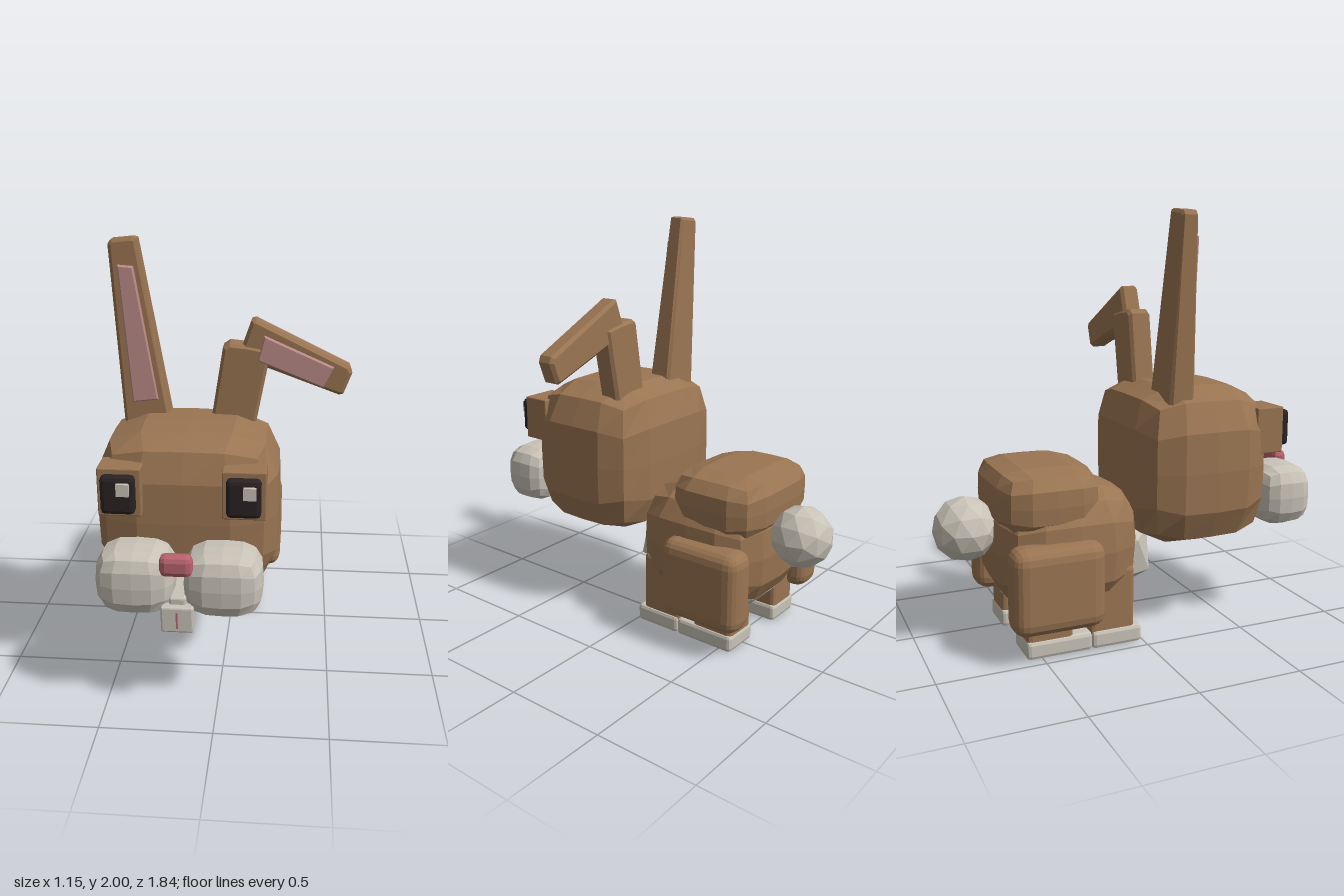
import * as THREE from 'three';
import { RoundedBoxGeometry } from 'three/addons/geometries/RoundedBoxGeometry.js';

function material(name, hex) {
  const m = new THREE.MeshStandardMaterial({ color: hex, flatShading: true });
  m.name = name;
  return m;
}

// Box whose vertices are pulled onto a superellipsoid; higher power = boxier
function blobGeometry(w, h, d, power, seg = 4) {
  const g = new THREE.BoxGeometry(2, 2, 2, seg, seg, seg);
  const p = g.attributes.position;
  const v = new THREE.Vector3();
  for (let i = 0; i < p.count; i++) {
    v.fromBufferAttribute(p, i);
    const n = (Math.abs(v.x) ** power + Math.abs(v.y) ** power + Math.abs(v.z) ** power) ** (1 / power);
    v.divideScalar(n);
    p.setXYZ(i, v.x * w / 2, v.y * h / 2, v.z * d / 2);
  }
  g.computeVertexNormals();
  return g;
}

// Bevelled outline plate between z0 and z1
function plateGeometry(points, z0, z1, bevel) {
  const shape = new THREE.Shape(points.map(([x, y]) => new THREE.Vector2(x, y)));
  const g = new THREE.ExtrudeGeometry(shape, {
    depth: z1 - z0 - 2 * bevel, bevelEnabled: true, bevelThickness: bevel,
    bevelSize: bevel, bevelOffset: -bevel, bevelSegments: 1,
  });
  return g.translate(0, 0, z0 + bevel);
}

export function createModel() {
  const fur = material('brown fur', 0x9a7552);
  const pale = material('pale fur', 0xc9c3b7);
  const earPink = material('inner ear pink', 0xbc8c88);
  const nosePink = material('nose pink', 0xb8626e);
  const black = material('eye black', 0x2a2223);

  const model = new THREE.Group();
  model.name = 'rabbit';
  const torso = new THREE.Group();
  torso.name = 'rabbitBody';
  torso.position.x = -0.16;
  model.add(torso);

  const add = (name, geometry, mat, x = 0, y = 0, z = 0, parent = torso) => {
    const m = new THREE.Mesh(geometry, mat);
    m.name = name;
    m.position.set(x, y, z);
    parent.add(m);
    return m;
  };
  // Rounded box given by its limits on each axis
  const box = (name, mat, [x0, x1], [y0, y1], [z0, z1], r, seg = 1) =>
    add(name, new RoundedBoxGeometry(x1 - x0, y1 - y0, z1 - z0, seg, r), mat,
      (x0 + x1) / 2, (y0 + y1) / 2, (z0 + z1) / 2);

  // Head and trunk
  add('head', blobGeometry(0.84, 0.77, 0.67, 4), fur, 0, 0.815, 0.315);
  add('body', blobGeometry(0.68, 0.59, 0.70, 3.2), fur, 0, 0.47, -0.325);
  add('rump', blobGeometry(0.635, 0.31, 0.49, 4), fur, 0, 0.705, -0.425);
  add('belly', blobGeometry(0.62, 0.32, 0.56, 3), pale, 0, 0.31, -0.34);

  // Chest tuft: icosahedron standing on one corner
  const tuft = new THREE.IcosahedronGeometry(0.2, 0);
  tuft.rotateX(Math.atan(2 / (1 + Math.sqrt(5))));
  // Choose the corner that the tilt brought to the vertical axis
  tuft.rotateX(0);
  const top = new THREE.Vector3(0, 1, (1 + Math.sqrt(5)) / 2).normalize();
  top.applyAxisAngle(new THREE.Vector3(1, 0, 0), Math.atan(2 / (1 + Math.sqrt(5))));
  tuft.applyQuaternion(new THREE.Quaternion().setFromUnitVectors(top, new THREE.Vector3(0, 1, 0)));
  add('chestTuft', tuft, pale, 0, 0.365, -0.03);

  add('tail', new THREE.IcosahedronGeometry(0.152, 1), pale, 0, 0.565, -0.772);

  // Paired parts
  for (const s of [-1, 1]) {
    const side = s < 0 ? 'right' : 'left';
    const span = (a, b) => (s > 0 ? [a, b] : [-b, -a]);

    box(side + 'Haunch', fur, span(0.235, 0.41), [0.15, 0.55], [-0.66, -0.225], 0.065, 2);
    box(side + 'FrontLeg', fur, span(0.11, 0.29), [0.04, 0.38], [-0.265, -0.045], 0.02);
    box(side + 'RearLeg', fur, span(0.11, 0.29), [0.04, 0.38], [-0.57, -0.35], 0.02);
    box(side + 'FrontFoot', pale, span(0.1, 0.3), [0.003, 0.09], [-0.26, -0.012], 0.018);
    box(side + 'RearFoot', pale, span(0.1, 0.3), [0.003, 0.09], [-0.575, -0.26], 0.018);
    for (const z of [-0.15, -0.46]) {
      add(side + 'SolePad', new THREE.BoxGeometry(0.09, 0.006, 0.07), fur, s * 0.2, 0.003, z);
    }

    // Face
    add(side + 'Cheek', blobGeometry(0.345, 0.305, 0.28, 3.2), pale, s * 0.19, 0.63, 0.765);
    box(side + 'EyeSocket', fur, span(0.175, 0.365), [0.87, 1.09], [0.55, 0.69], 0.005);
    box(side + 'Eye', black, span(0.195, 0.345), [0.895, 1.07], [0.68, 0.74], 0.02);
    add(side + 'EyeGlint', new THREE.BoxGeometry(0.055, 0.055, 0.03), pale, s * 0.27 + 0.028, 1.018, 0.742);
  }
  box('nose', nosePink, [-0.07, 0.07], [0.7, 0.795], [0.85, 0.92], 0.025);
  box('muzzleBridge', pale, [-0.035, 0.035], [0.5, 0.58], [0.62, 0.87], 0.008);
  box('teeth', pale, [-0.07, 0.07], [0.43, 0.55], [0.85, 0.9], 0.008);
  add('toothGap', new THREE.BoxGeometry(0.008, 0.075, 0.006), nosePink, 0, 0.49, 0.9);

  // Upright ear, thinner toward the tip
  const upright = plateGeometry(
    [[-0.48, 1.1], [-0.255, 1.1], [-0.405, 1.995], [-0.425, 2.0], [-0.52, 1.99], [-0.535, 1.97]],
    0.11, 0.238, 0.015);
  const p = upright.attributes.position;
  for (let i = 0; i < p.count; i++) {
    const t = (p.getY(i) - 1.1) / 0.9;
    p.setZ(i, 0.173 + (p.getZ(i) - 0.173) * (1 - 0.38 * t));
  }
  upright.computeVertexNormals();
  add('rightEar', upright, fur, 0, 0, 0, model);
  add('rightInnerEar', plateGeometry(
    [[-0.44, 1.245], [-0.32, 1.26], [-0.42, 1.875], [-0.49, 1.88]], 0.19, 0.241, 0.006), earPink, 0, 0, 0, model);

  // Folded ear: stem and drooping tip
  add('leftEarStem', plateGeometry(
    [[-0.085, 1.1], [0.125, 1.1], [0.2, 1.5], [0.1, 1.52], [0.01, 1.53], [-0.02, 1.51]],
    0.115, 0.23, 0.015), fur, 0, 0, 0, model);
  add('leftEarTip', plateGeometry(
    [[0.05, 1.465], [0.515, 1.295], [0.535, 1.3], [0.572, 1.4], [0.56, 1.43], [0.13, 1.64], [0.11, 1.635]],
    0.125, 0.22, 0.015), fur, 0, 0, 0, model);
  add('leftInnerEar', plateGeometry(
    [[0.14, 1.455], [0.44, 1.335], [0.487, 1.43], [0.17, 1.57]], 0.2, 0.24, 0.006), earPink, 0, 0, 0, model);

  return model;
}
